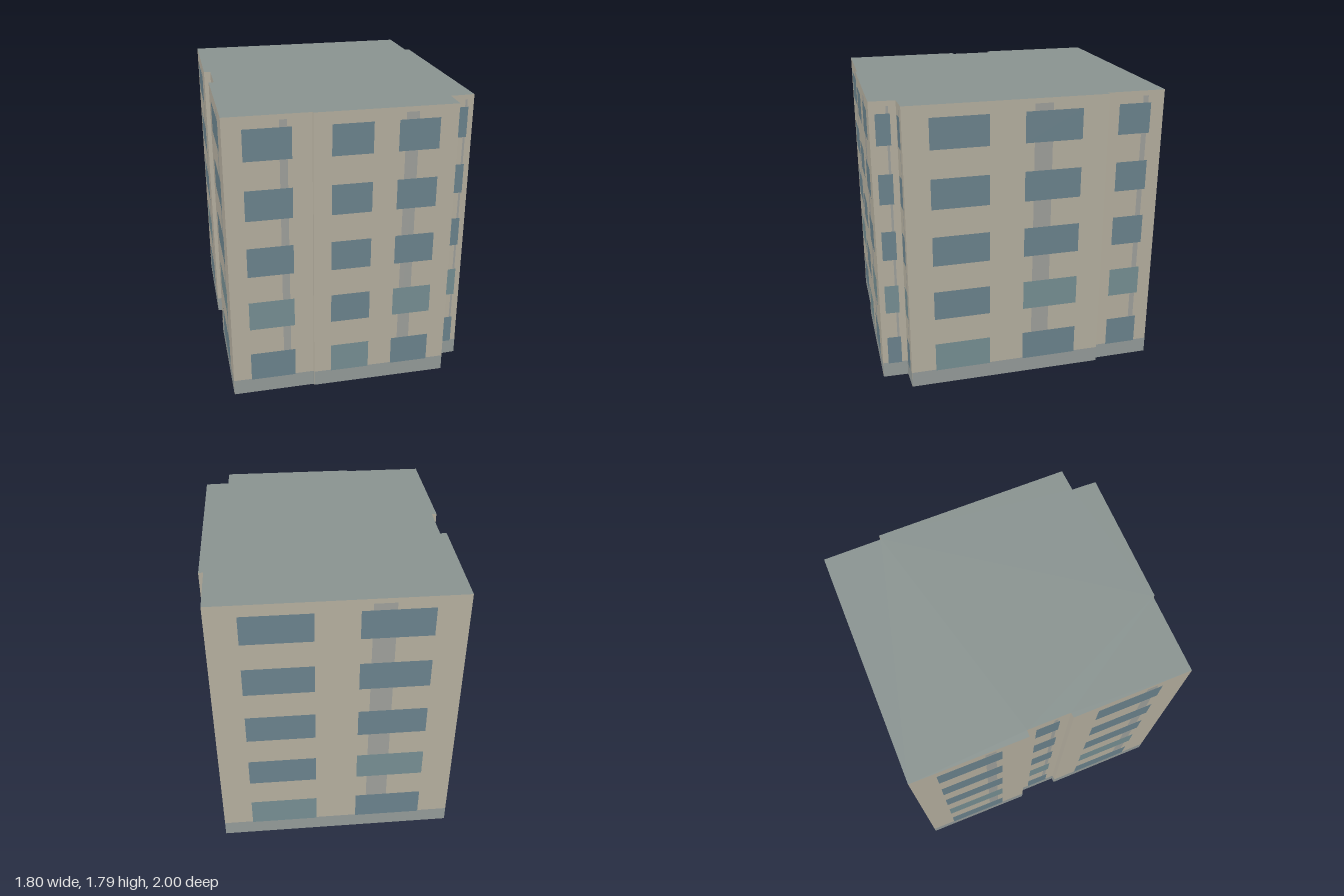
import * as THREE from 'three';

const HEIGHT = 1.795, BASE = 0.1, FLOORS = 5;

// Footprint corners [x, z], anticlockwise seen from above, starting at the front right corner
const PLAN = [
  [-0.535, 0.995], [-0.045, 0.89], [-0.04, 0.9], [0.785, 0.725], [0.757, 0.572], [0.9, 0.535],
  [0.645, -0.655], [0.618, -0.645], [0.54, -1], [-0.9, -0.685], [-0.755, 0.012], [-0.715, 0.005],
  [-0.66, 0.265], [-0.69, 0.275],
];

const paint = (color, side = THREE.FrontSide) =>
  new THREE.MeshStandardMaterial({ color, side });

export function createModel() {
  const model = new THREE.Group();
  model.name = 'apartmentBlock';
  const wallMat = paint(0xb8b2a2, THREE.DoubleSide);
  const roofMat = paint(0x8a9491, THREE.DoubleSide);
  const baseMat = paint(0x979e9c);
  const stripeMat = paint(0xa1a39e);
  const glassMat = paint(0x6d858f);
  const paleGlassMat = paint(0x789195);

  // Each facade is a plane along one footprint edge, with thin panels laid on its outside
  PLAN.forEach(([x0, z0], i) => {
    const [x1, z1] = PLAN[(i + 1) % PLAN.length];
    const length = Math.hypot(x1 - x0, z1 - z0);
    const facade = new THREE.Group();
    facade.name = 'facade' + i;
    facade.position.set(x0, 0, z0);
    facade.rotation.y = Math.atan2(z0 - z1, x1 - x0);
    model.add(facade);

    // Panel from t0 to t1 (fractions of the facade length) and y0 to y1
    const panel = (name, t0, t1, y0, y1, depth, material) => {
      const mesh = new THREE.Mesh(new THREE.PlaneGeometry((t1 - t0) * length, y1 - y0), material);
      mesh.position.set((t0 + t1) / 2 * length, (y0 + y1) / 2, depth);
      mesh.name = name;
      facade.add(mesh);
    };

    panel('wall', 0, 1, 0, HEIGHT, 0, wallMat);
    panel('baseBand', 0, 1, 0, BASE, 0.0015, baseMat);
    if (length < 0.1) return; // narrow steps between facades stay blank

    panel('downpipeStripe', 0.63, 0.72, BASE, 1.765, 0.0015, stripeMat);
    const columns = length < 0.8 ? [[0.22, 0.77]] : [[0.125, 0.41], [0.585, 0.87]];
    for (let floor = 0; floor < FLOORS; floor++) {
      columns.forEach(([t0, t1], c) => {
        const pale = columns.length === 1 ? floor === 1 : floor === c;
        const y = 0.095 + floor * 0.36;
        panel('window', t0, t1, y, y + 0.187, 0.003, pale ? paleGlassMat : glassMat);
      });
    }
  });

  // Flat roof following the footprint; the underside of the block is open
  const outline = new THREE.Shape(PLAN.map(([x, z]) => new THREE.Vector2(x, -z)));
  const roof = new THREE.Mesh(new THREE.ShapeGeometry(outline), roofMat);
  roof.rotation.x = -Math.PI / 2;
  roof.position.y = HEIGHT;
  roof.name = 'roof';
  model.add(roof);

  return model;
}
